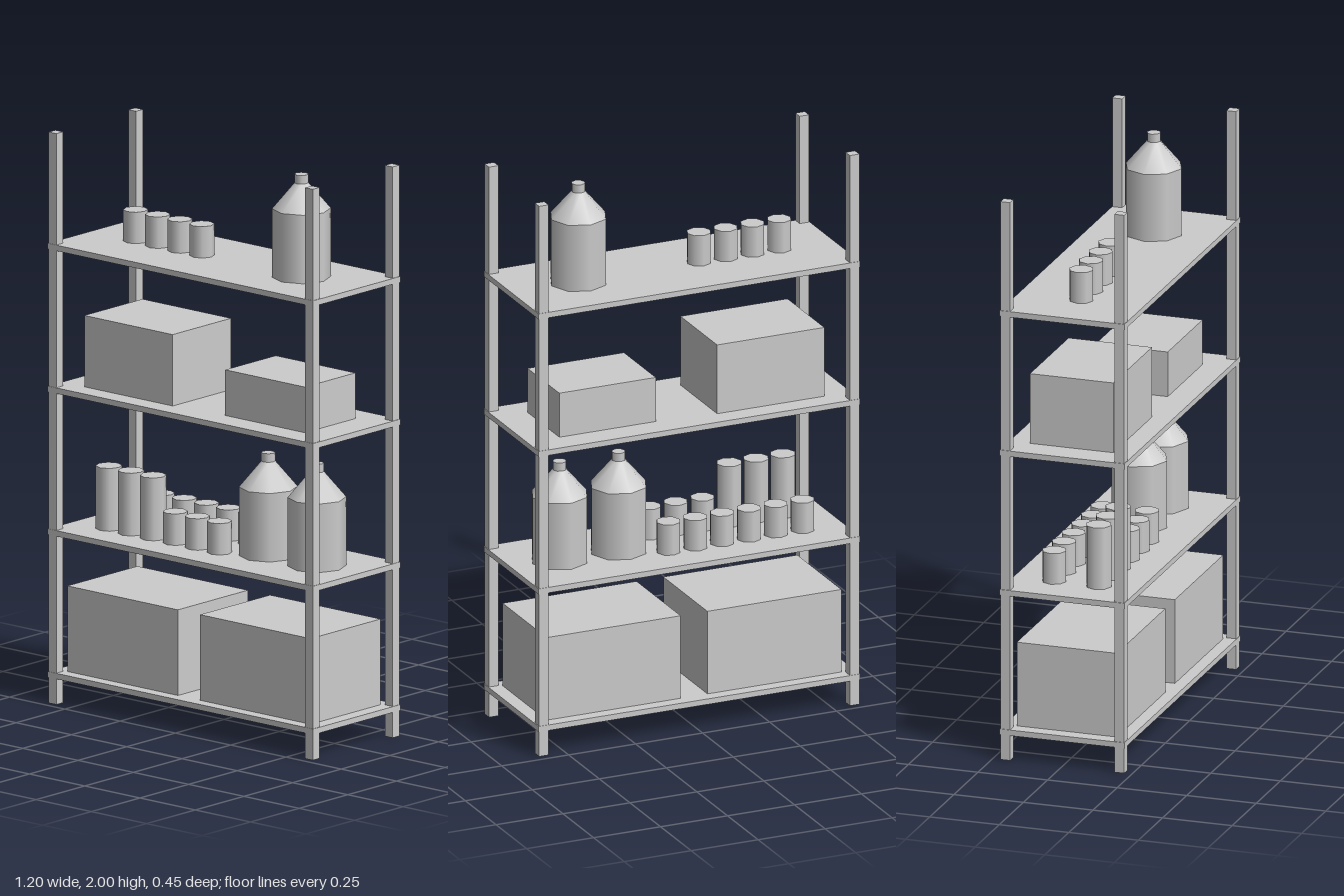
import * as THREE from 'three';

const grey = new THREE.MeshStandardMaterial({ color: 0xcccccc });
const SHELF_LEVELS = [0.1, 0.6, 1.1, 1.6];
const SHELF_HALF = 0.01;
const surface = (level) => SHELF_LEVELS[level] + SHELF_HALF;

export function createModel() {
  const root = new THREE.Group();
  root.name = 'storageRack';

  const add = (parent, name, geometry, x, y, z) => {
    const mesh = new THREE.Mesh(geometry, grey);
    mesh.name = name;
    mesh.position.set(x, y, z);
    parent.add(mesh);
    return mesh;
  };

  // Four square corner posts
  const postGeo = new THREE.BoxGeometry(0.035, 2, 0.035);
  for (const x of [-0.58, 0.58])
    for (const z of [-0.205, 0.205]) add(root, 'post', postGeo, x, 1, z);

  // Thin shelves reaching just past the posts
  const shelfGeo = new THREE.BoxGeometry(1.2, SHELF_HALF * 2, 0.448);
  for (const y of SHELF_LEVELS) add(root, 'shelf', shelfGeo, 0, y, 0);

  // Boxes resting on a shelf
  const carton = (level, x, w, h, d) =>
    add(root, 'carton', new THREE.BoxGeometry(w, h, d), x, surface(level) + h / 2, 0);
  carton(0, -0.3, 0.5, 0.3, 0.36);
  carton(0, 0.3, 0.5, 0.3, 0.36);
  carton(2, -0.3, 0.4, 0.25, 0.3);
  carton(2, 0.3, 0.36, 0.16, 0.26);

  // Eight-sided cans
  const shortCan = new THREE.CylinderGeometry(0.0425, 0.0425, 0.11, 8);
  const tallCan = new THREE.CylinderGeometry(0.045, 0.045, 0.22, 8);
  const can = (level, x, z, tall = false) =>
    add(root, tall ? 'tallCan' : 'shortCan', tall ? tallCan : shortCan,
      x, surface(level) + (tall ? 0.11 : 0.055), z);

  // Top shelf: a single row of four
  for (let i = 0; i < 4; i++) can(3, -0.4 + i * 0.1, 0);

  // Second shelf: front row half tall, back row all short
  for (let i = 0; i < 6; i++) {
    const x = -0.45 + i * 0.1;
    can(1, x, 0.08, i < 3);
    can(1, x, -0.08);
  }

  // Jugs: body, sloping shoulder and neck
  const bodyGeo = new THREE.CylinderGeometry(0.1, 0.1, 0.24, 8);
  const shoulderGeo = new THREE.CylinderGeometry(0.024, 0.1, 0.09, 8, 1, true);
  const neckGeo = new THREE.CylinderGeometry(0.024, 0.024, 0.03, 8);
  const jug = (level, x) => {
    const group = new THREE.Group();
    group.name = 'jug';
    group.position.set(x, surface(level), 0);
    add(group, 'jugBody', bodyGeo, 0, 0.12, 0);
    add(group, 'jugShoulder', shoulderGeo, 0, 0.285, 0);
    add(group, 'jugNeck', neckGeo, 0, 0.345, 0);
    root.add(group);
  };
  jug(1, 0.2);
  jug(1, 0.42);
  jug(3, 0.35);

  return root;
}
